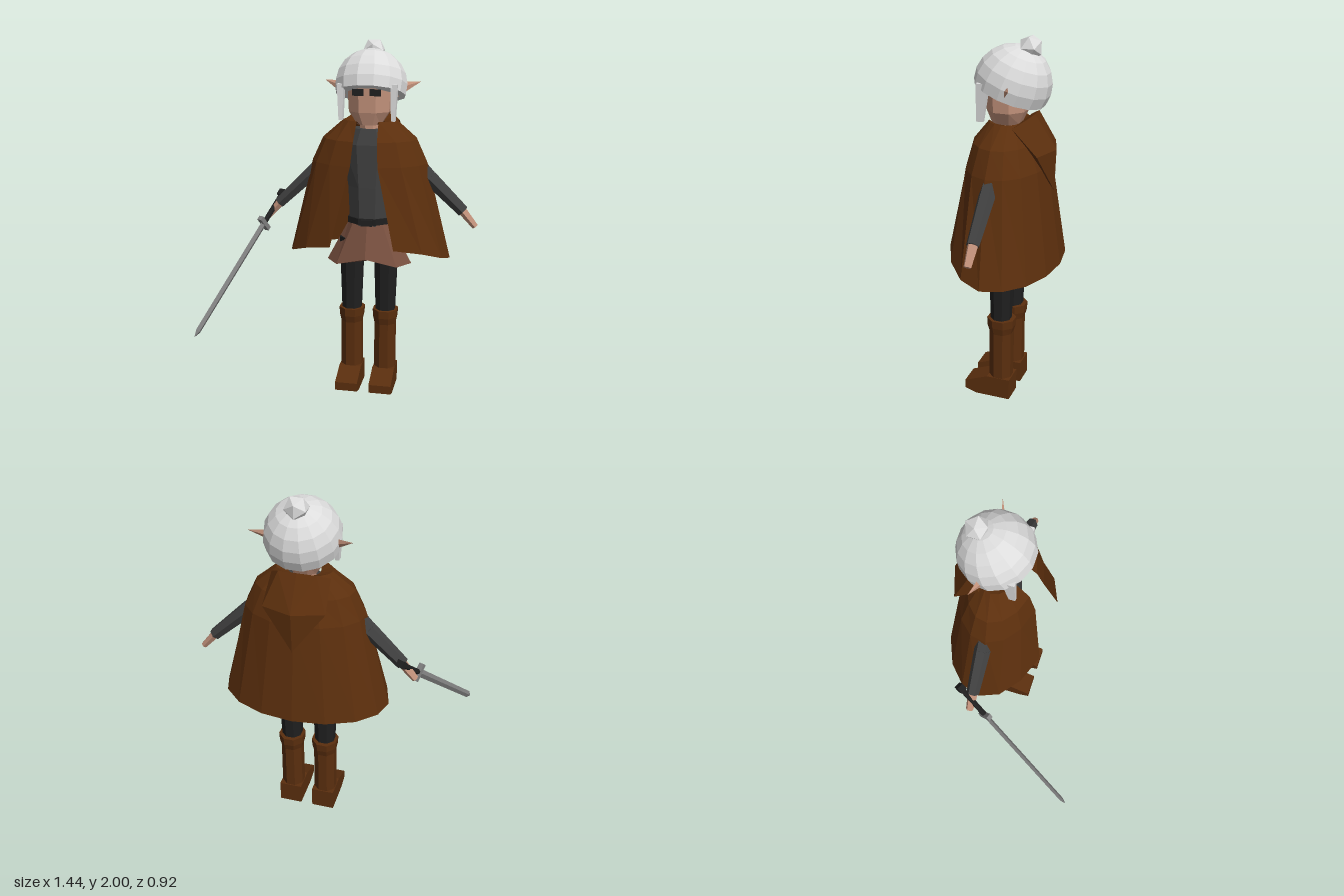
import * as THREE from 'three';
import { ConvexGeometry } from 'three/addons/geometries/ConvexGeometry.js';

const mat = (name, color, side = THREE.FrontSide) => {
  const m = new THREE.MeshStandardMaterial({ color, side });
  m.name = name;
  return m;
};

// Faceted normals
function flat(geo) {
  const g = geo.index ? geo.toNonIndexed() : geo;
  g.computeVertexNormals();
  return g;
}

// Surface through rows of points, listed bottom to top
function grid(rows) {
  const p = [];
  const tri = (...v) => v.forEach((q) => p.push(...q));
  for (let i = 0; i < rows.length - 1; i++) {
    for (let j = 0; j < rows[i].length - 1; j++) {
      const [a, b, c, d] = [rows[i][j], rows[i][j + 1], rows[i + 1][j + 1], rows[i + 1][j]];
      tri(a, b, d);
      tri(b, c, d);
    }
  }
  const g = new THREE.BufferGeometry();
  g.setAttribute('position', new THREE.Float32BufferAttribute(p, 3));
  return flat(g);
}

// Closed loft; rings are [y, rx, rz, centre z], lift can raise single points
function loft(rings, sides = 8, phase = 0.5, lift = () => 0) {
  const rows = rings.map(([y, rx, rz, cz], i) => Array.from({ length: sides + 1 }, (_, j) => {
    const a = ((j + phase) / sides) * Math.PI * 2;
    return [rx * Math.sin(a), y + lift(i, j % sides), cz + rz * Math.cos(a)];
  }));
  const cap = ([y, , , cz]) => Array.from({ length: sides + 1 }, () => [0, y, cz]);
  return grid([cap(rings[0]), ...rows, cap(rings[rings.length - 1])]);
}

export function createModel() {
  const DS = THREE.DoubleSide;
  const skin = mat('skin', 0xc4937c);
  const hair = mat('silver hair', 0xdcdcdc, DS);
  const leather = mat('brown leather', 0x5a2e0e);
  const cloth = mat('cloak brown', 0x5c2f0d, DS);
  const tunic = mat('skirt brown', 0x7a5140, DS);
  const grey = mat('dark grey', 0x404040);
  const black = mat('black', 0x1f1f1f);
  const steel = mat('steel', 0x808080);

  const model = new THREE.Group();
  model.name = 'figure';
  const body = new THREE.Group();
  body.name = 'body';
  body.position.x = 0.114;
  model.add(body);

  const add = (name, geo, m, pos = [0, 0, 0], parent = body) => {
    const mesh = new THREE.Mesh(flat(geo), m);
    mesh.name = name;
    mesh.position.set(...pos);
    parent.add(mesh);
    return mesh;
  };
  // Tapered rod from a to b
  const limb = (name, m, a, b, r0, r1, sides = 6, squash = 1) => {
    const A = new THREE.Vector3(...a), B = new THREE.Vector3(...b);
    const d = B.clone().sub(A);
    const geo = new THREE.CylinderGeometry(r1, r0, d.length(), sides).scale(1, 1, squash);
    const mesh = add(name, geo, m, A.add(B).multiplyScalar(0.5).toArray());
    mesh.quaternion.setFromUnitVectors(new THREE.Vector3(0, 1, 0), d.normalize());
  };

  // Head and neck
  add('head', loft([
    [1.55, 0.07, 0.08, -0.16], [1.62, 0.12, 0.108, -0.165], [1.83, 0.132, 0.12, -0.165],
  ]), skin);
  add('neck', loft([[1.5, 0.06, 0.055, -0.18], [1.6, 0.06, 0.055, -0.18]]), skin);

  // Hair: tilted cap, closed below, with a bun
  const cap = new THREE.Group();
  cap.name = 'hair';
  cap.position.set(0, 1.755, -0.19);
  cap.rotation.x = -0.36;
  body.add(cap);
  add('hairCap', new THREE.SphereGeometry(0.2, 14, 6, 0, Math.PI * 2, 0, 1.82), hair, [0, 0, 0], cap);
  add('hairUnderside', new THREE.CircleGeometry(0.193, 14).rotateX(Math.PI / 2), hair, [0, -0.049, 0], cap);
  add('bun', new THREE.IcosahedronGeometry(0.065, 0), hair, [0, 1.94, -0.28]);

  // Torso, belt and skirt
  add('torso', loft([
    [0.98, 0.115, 0.09, -0.175], [1.2, 0.125, 0.1, -0.175], [1.44, 0.16, 0.1, -0.175], [1.525, 0.11, 0.075, -0.175],
  ]), grey);
  add('belt', loft([[0.99, 0.127, 0.102, -0.175], [1.025, 0.127, 0.102, -0.175]]), black);
  add('buckle', new THREE.BoxGeometry(0.065, 0.035, 0.02), black, [0, 1.005, -0.075]);
  add('skirt', loft([[0.757, 0.243, 0.143, -0.17], [1.0, 0.115, 0.09, -0.175]], 8, 0,
    (i, j) => (i === 0 && j % 4 === 0 ? 0.048 : 0)), tunic);

  // Cloak rows: y, half width, front edge x, front edge z, back z
  const N = 14;
  const cloakRows = [
    [0.8, 0.46, 0.175, 0.09, -0.465],
    [1.34, 0.325, 0.075, 0.03, -0.385],
    [1.47, 0.265, 0.065, -0.005, -0.335],
    [1.57, 0.15, 0.06, -0.085, -0.265],
    [1.555, 0.085, 0.05, -0.1, -0.24],
  ].map(([y, rx, ex, zf, zb], i) => {
    const a0 = Math.asin(ex / rx), cz = -0.18;
    return Array.from({ length: N + 1 }, (_, j) => {
      const a = a0 + (j / N) * (Math.PI * 2 - 2 * a0), c = Math.cos(a);
      const z = cz + c * (c > 0 ? (zf - cz) / Math.cos(a0) : cz - zb);
      return [rx * Math.sin(a), y + (i === 0 ? Math.max(0, (z + 0.13) * 0.46) : 0), z];
    });
  });
  add('cloak', grid(cloakRows), cloth);

  // Hood lying on the back
  const V = (x, y, z) => new THREE.Vector3(x, y, z);
  add('hood', new ConvexGeometry([
    ...[-1, 1].flatMap((s) => [V(s * 0.155, 1.56, -0.24), V(s * 0.1, 1.6, -0.3), V(s * 0.165, 1.43, -0.375)]),
    V(0, 1.605, -0.31), V(0, 1.43, -0.427), V(0, 1.21, -0.42), V(0, 1.33, -0.4),
  ]), cloth);

  // Foot side profile: z, y
  const foot = new THREE.Shape([
    [0.02, 0.02], [0.02, 0.068], [-0.11, 0.12], [-0.24, 0.12], [-0.24, 0], [-0.045, 0],
  ].map(([z, y]) => new THREE.Vector2(z, y)));

  for (const s of [-1, 1]) {
    const side = s > 0 ? 'left' : 'right';
    add(side + 'Eye', new THREE.BoxGeometry(0.06, 0.036, 0.009), black, [s * 0.047, 1.732, -0.048]);
    limb(side + 'Ear', skin, [s * 0.13, 1.735, -0.2], [s * 0.265, 1.775, -0.245], 0.045, 0.001, 4, 0.4);
    add(side + 'Sidelock', new ConvexGeometry([-0.018, 0.018].flatMap((w) => [
      V(s * 0.145 + w, 1.775, -0.05), V(s * 0.145 + w, 1.775, -0.115),
      V(s * 0.143 + w * 0.6, 1.58, -0.05), V(s * 0.143 + w * 0.6, 1.58, -0.085),
    ])), hair);

    // Arm and hand
    limb(side + 'UpperSleeve', grey, [s * 0.15, 1.46, -0.175], [s * 0.345, 1.245, -0.175], 0.045, 0.043);
    limb(side + 'LowerSleeve', grey, [s * 0.335, 1.257, -0.175], [s * 0.525, 1.075, -0.175], 0.044, 0.034);
    limb(side + 'Hand', skin, [s * 0.515, 1.085, -0.175], [s * 0.595, 0.99, -0.175], 0.026, 0.018, 6, 1.1);

    // Leg, boot and foot
    const leg = new THREE.Group();
    leg.name = side + 'Leg';
    leg.position.x = s * 0.098;
    body.add(leg);
    add('legging', loft([[0.4, 0.056, 0.056, -0.17], [0.9, 0.074, 0.069, -0.172]]), black, [0, 0, 0], leg);
    add('boot', loft([
      [0.1, 0.066, 0.066, -0.173], [0.39, 0.064, 0.066, -0.173], [0.43, 0.073, 0.078, -0.173], [0.475, 0.076, 0.08, -0.173],
    ]), leather, [0, 0, 0], leg);
    const footGeo = new THREE.ExtrudeGeometry(foot, { depth: 0.128, bevelEnabled: false })
      .translate(0, 0, -0.064).rotateY(-Math.PI / 2);
    add('foot', footGeo, leather, [0, 0, 0], leg);
  }

  // Sword, pointing along its own +z from the guard
  const sword = new THREE.Group();
  sword.name = 'sword';
  sword.position.set(-0.483, 0.97, -0.085);
  sword.lookAt(-0.722, 0.47, 0.455);
  model.add(sword);
  const along = (r1, r0, len, z0) => new THREE.CylinderGeometry(r1, r0, len, 4)
    .rotateX(Math.PI / 2).scale(0.55, 1, 1).translate(0, 0, z0 + len / 2);
  add('blade', along(0.02, 0.022, 0.735, 0), steel, [0, 0, 0], sword);
  add('bladeTip', along(0.001, 0.02, 0.038, 0.735), steel, [0, 0, 0], sword);
  add('guard', new THREE.BoxGeometry(0.028, 0.1, 0.026), steel, [0, 0, 0], sword);
  add('grip', new THREE.CylinderGeometry(0.015, 0.015, 0.2, 6).rotateX(Math.PI / 2), black, [0, 0, -0.11], sword);
  add('pommel', new THREE.BoxGeometry(0.038, 0.038, 0.04), black, [0, 0, -0.22], sword);

  return model;
}
